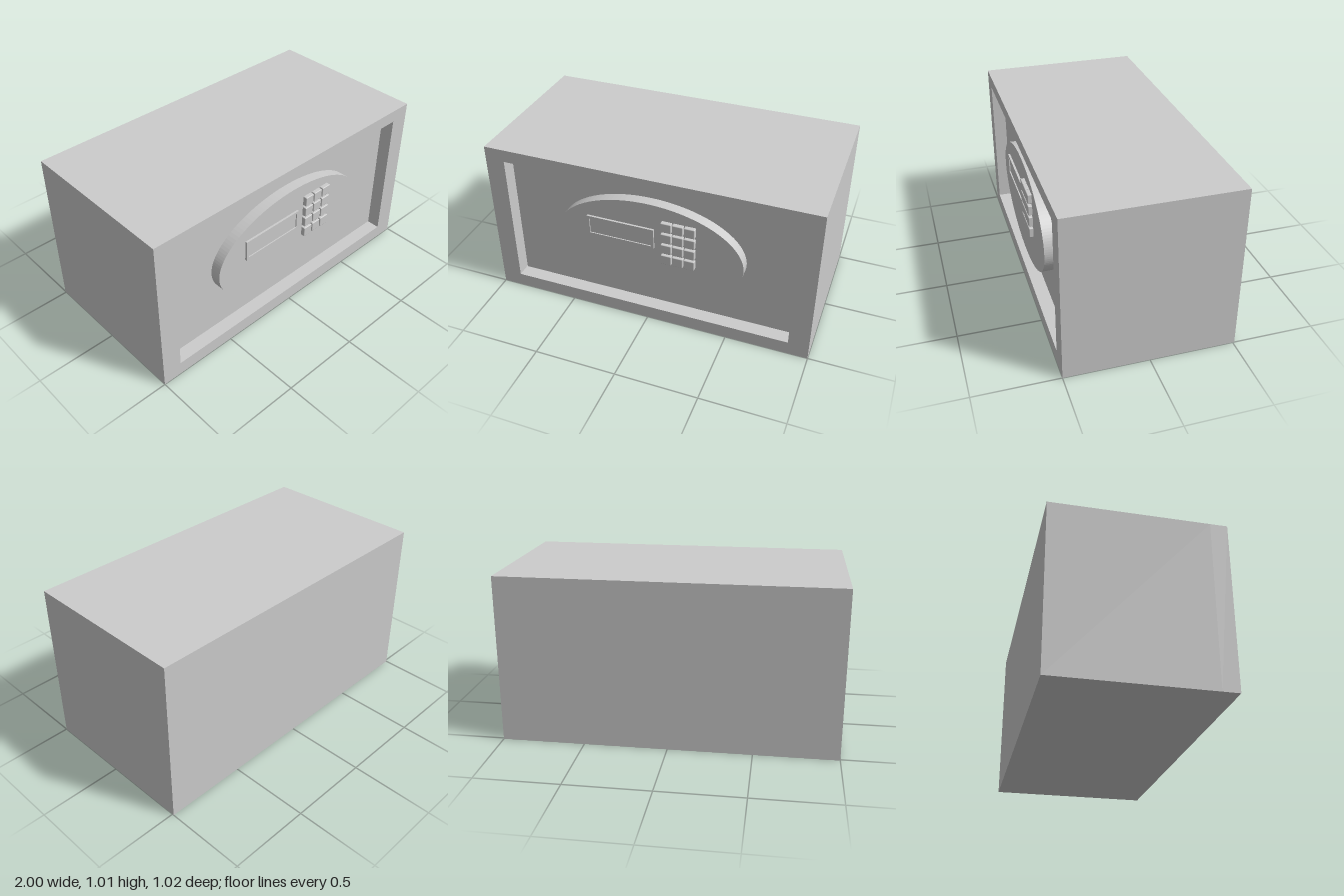
import * as THREE from 'three';
import { RoundedBoxGeometry } from 'three/addons/geometries/RoundedBoxGeometry.js';

const material = new THREE.MeshStandardMaterial({ color: 0xcccccc });

function add(parent, name, geometry, x = 0, y = 0, z = 0) {
  const mesh = new THREE.Mesh(geometry, material);
  mesh.name = name;
  mesh.position.set(x, y, z);
  parent.add(mesh);
  return mesh;
}

// Adds a rectangle to a Shape or Path
function rect(path, x0, y0, x1, y1) {
  path.moveTo(x0, y0);
  path.lineTo(x1, y0);
  path.lineTo(x1, y1);
  path.lineTo(x0, y1);
  path.closePath();
  return path;
}

// Rectangular frame: outer and inner bounds are [x0, y0, x1, y1]
function frameGeometry(outer, inner, depth) {
  const shape = rect(new THREE.Shape(), ...outer);
  shape.holes.push(rect(new THREE.Path(), ...inner));
  return new THREE.ExtrudeGeometry(shape, { depth, bevelEnabled: false });
}

export function createModel() {
  const safe = new THREE.Group();
  safe.name = 'safe';

  // Cabinet: solid back and a front frame around the door opening
  const height = 1.01, back = -0.51, front = 0.5, floor = 0.4;
  add(safe, 'cabinetBody', new THREE.BoxGeometry(2, height, floor - back), 0, height / 2, (floor + back) / 2);
  add(safe, 'cabinetFrame',
    frameGeometry([-1, 0, 1, height], [-0.88, 0.085, 0.877, 0.932], front - floor), 0, 0, floor);

  // Door set back in the opening, with a fine gap all round
  const doorFront = 0.42;
  add(safe, 'door', new THREE.BoxGeometry(1.746, 0.837, doorFront - floor), 0, 0.5085, (doorFront + floor) / 2);

  // Oval control panel standing out from the door
  const panelFront = 0.485;
  const oval = new THREE.Shape();
  oval.absellipse(0, 0, 0.575, 0.32, 0, Math.PI * 2);
  add(safe, 'controlPanel',
    new THREE.ExtrudeGeometry(oval, { depth: panelFront - doorFront, bevelEnabled: false, curveSegments: 64 }),
    0.008, 0.52, doorFront);

  // Display: raised bezel with a sunken screen
  const display = new THREE.Group();
  display.name = 'display';
  safe.add(display);
  add(display, 'displayBezel',
    frameGeometry([-0.37, 0.543, 0.048, 0.676], [-0.353, 0.559, 0.032, 0.66], 0.013), 0, 0, panelFront);
  add(display, 'displayScreen', new THREE.BoxGeometry(0.385, 0.101, 0.006), -0.1605, 0.6095, panelFront + 0.003);

  // Keypad: three columns by four rows of softened keys
  const keypad = new THREE.Group();
  keypad.name = 'keypad';
  safe.add(keypad);
  const key = new RoundedBoxGeometry(0.064, 0.062, 0.035, 2, 0.005);
  for (let row = 0; row < 4; row++) {
    for (let col = 0; col < 3; col++) {
      add(keypad, 'key', key, 0.127 + col * 0.07, 0.49 + row * 0.0755, 0.4925);
    }
  }
  return safe;
}
